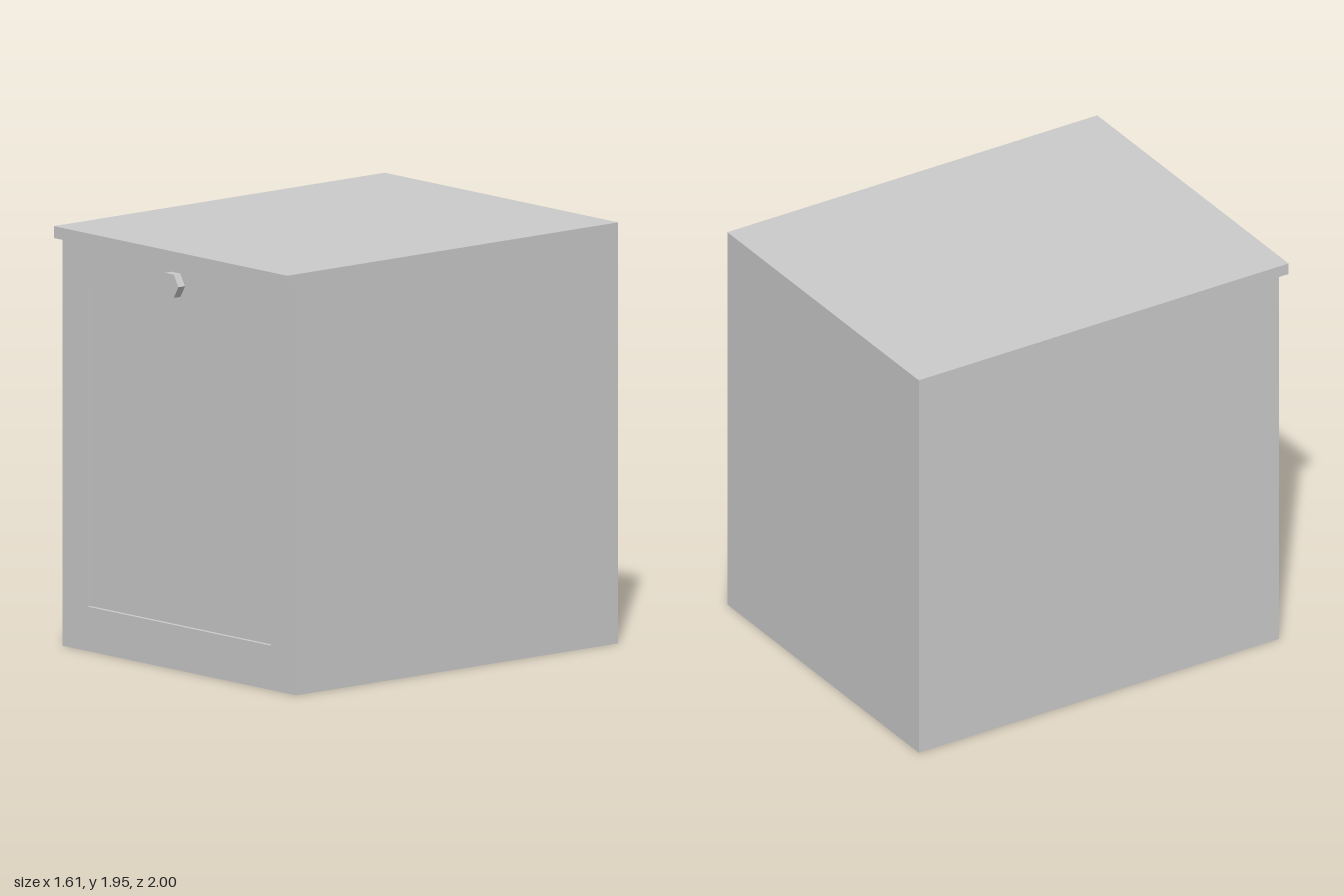
import * as THREE from 'three';

const material = new THREE.MeshStandardMaterial({ color: 0xcccccc, flatShading: true });

const HALF_W = 0.807, BACK = -1, FRONT = 0.94, RECESS = 0.02;
const TOP_Y = 1.89, HEIGHT = 1.945;

function part(group, name, geometry) {
  const mesh = new THREE.Mesh(geometry, material);
  mesh.name = name;
  group.add(mesh);
  return mesh;
}

// Box given by its minimum and maximum corners
function box(x0, y0, z0, x1, y1, z1) {
  return new THREE.BoxGeometry(x1 - x0, y1 - y0, z1 - z0)
    .translate((x0 + x1) / 2, (y0 + y1) / 2, (z0 + z1) / 2);
}

// Rectangular outline, usable as a shape or a hole
function outline(PathClass, x0, y0, x1, y1) {
  return new PathClass([[x0, y0], [x1, y0], [x1, y1], [x0, y1]].map(p => new THREE.Vector2(...p)));
}

export function createModel() {
  const group = new THREE.Group();
  group.name = 'cabinet';

  // Carcass, whose front forms the recessed door panel
  part(group, 'carcass', box(-HALF_W, 0, BACK, HALF_W, TOP_Y, FRONT - RECESS));

  // Door frame around the recessed panel
  const frame = outline(THREE.Shape, -HALF_W, 0, HALF_W, TOP_Y);
  frame.holes.push(outline(THREE.Path, -0.635, 0.205, 0.635, 1.685));
  part(group, 'doorFrame', new THREE.ExtrudeGeometry(frame, { depth: RECESS, bevelEnabled: false }))
    .position.z = FRONT - RECESS;

  // Worktop overhanging the front
  part(group, 'worktop', box(-HALF_W, TOP_Y, BACK, HALF_W, HEIGHT, 0.993));

  // Six-sided knob, tapering towards the door
  const profile = [[0, 0], [0.043, 0], [0.062, 0.02], [0.062, 0.06], [0, 0.06]]
    .map(p => new THREE.Vector2(...p));
  const knob = part(group, 'knob', new THREE.LatheGeometry(profile, 6, Math.PI / 2));
  knob.rotation.x = Math.PI / 2;
  knob.position.set(0, 1.787, FRONT);

  return group;
}
